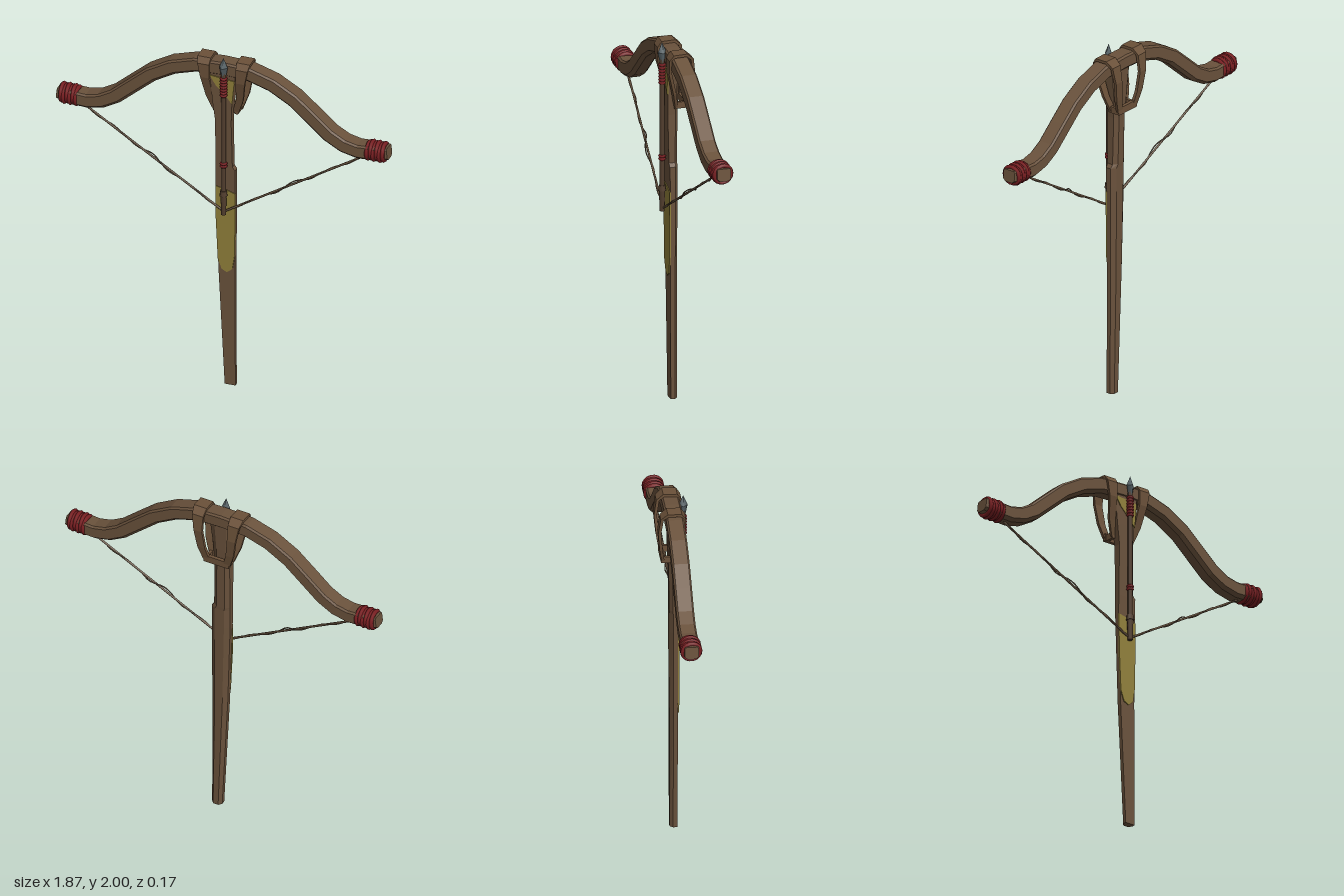
import * as THREE from 'three';

const mat = (name, color) => {
  const m = new THREE.MeshStandardMaterial({ color });
  m.name = name;
  return m;
};

// Solid from cross-section rings (each counter-clockwise seen from the far end), flat faces
function loft(rings) {
  const out = [];
  const tri = (...p) => p.forEach((v) => out.push(v.x, v.y, v.z));
  const n = rings[0].length;
  for (let i = 0; i < rings.length - 1; i++) {
    for (let j = 0; j < n; j++) {
      const k = (j + 1) % n;
      const a = rings[i][j], b = rings[i][k], c = rings[i + 1][k], d = rings[i + 1][j];
      tri(a, b, c);
      tri(a, c, d);
    }
  }
  const first = rings[0], last = rings[rings.length - 1];
  for (let j = 1; j < n - 1; j++) {
    tri(first[0], first[j + 1], first[j]);
    tri(last[0], last[j], last[j + 1]);
  }
  const g = new THREE.BufferGeometry();
  g.setAttribute('position', new THREE.Float32BufferAttribute(out, 3));
  g.computeVertexNormals();
  return g;
}

// Sweep a section of [normal, side] offsets along a path, with a fixed side direction
function sweep(path, side, sectionAt) {
  return loft(path.map((p, i) => {
    const t = path[Math.min(i + 1, path.length - 1)].clone().sub(path[Math.max(i - 1, 0)]);
    const n = side.clone().cross(t).normalize();
    return sectionAt(i).map(([u, v]) => p.clone().addScaledVector(n, u).addScaledVector(side, v));
  }));
}

export function createModel() {
  const model = new THREE.Group();
  model.name = 'crossbow';
  const wood = mat('wood', 0x6a523c);
  const leather = mat('leather', 0x6b5139);
  const darkWood = mat('darkWood', 0x523e2e);
  const red = mat('redCord', 0x7a1f22);
  const gold = mat('goldPlate', 0x91803a);
  const steel = mat('steel', 0x5c686c);
  const cord = mat('bowCord', 0x67533f);
  const V = (x, y, z) => new THREE.Vector3(x, y, z);
  const add = (name, geo, material, parent = model) => {
    const m = new THREE.Mesh(geo, material);
    m.name = name;
    parent.add(m);
    return m;
  };

  // Stock: y, left edge, right edge, front, back; the back is chamfered
  const stock = [
    [0, 0.015, 0.075, 0.03, -0.01],
    [0.7, -0.02, 0.072, 0.03, -0.013],
    [1.2, -0.035, 0.075, 0.032, -0.015],
    [1.31, -0.035, 0.075, 0.035, -0.015],
    [1.33, -0.035, 0.06, 0.035, -0.016],
    [1.6, -0.035, 0.055, 0.04, -0.02],
    [1.72, -0.05, 0.06, 0.042, -0.025],
    [1.94, -0.07, 0.085, 0.042, -0.03],
  ];
  add('stock', loft(stock.map(([y, l, r, f, b]) => {
    const c = (r - l) * 0.25, mid = b + 0.018;
    return [V(l, y, f), V(r, y, f), V(r, y, mid), V(r - c, y, b), V(l + c, y, b), V(l, y, mid)];
  })), wood);

  // Gold inlays on the front of the stock
  const plate = (name, pts, z) => {
    const shape = new THREE.Shape(pts.map(([x, y]) => new THREE.Vector2(x, y)));
    add(name, new THREE.ExtrudeGeometry(shape, { depth: 0.008, bevelEnabled: false }), gold).position.z = z;
  };
  plate('lowerInlay', [[0.0, 0.7], [0.03, 0.685], [0.06, 0.71], [0.073, 0.8], [0.076, 1.17],
    [0.03, 1.185], [-0.035, 1.2], [-0.033, 1.0], [-0.022, 0.76]], 0.028);
  plate('upperInlay', [[0.062, 1.72], [0.075, 1.86], [-0.065, 1.875], [-0.03, 1.82], [0.03, 1.76]], 0.039);

  // Curved bow limb
  const half = [[0.15, 1.912], [0.28, 1.872], [0.4, 1.803], [0.5, 1.717], [0.6, 1.63], [0.68, 1.585], [0.76, 1.567], [0.86, 1.572], [0.93, 1.58]];
  const limb = [...half.map(([x, y]) => V(-x, y, 0)).reverse(), V(0, 1.918, 0), ...half.map(([x, y]) => V(x, y, 0))];
  const limbSection = [[0.042, -0.038], [0.042, 0.038], [0.032, 0.047], [-0.026, 0.047],
    [-0.043, 0.028], [-0.043, -0.028], [-0.026, -0.047], [0.032, -0.047]];
  add('bowLimb', sweep(limb, V(0, 0, 1), (i) => {
    const s = i === 0 || i === limb.length - 1 ? 0.8 : 1;
    return limbSection.map(([u, v]) => [u * s, v * s]);
  }), wood);

  for (const s of [-1, 1]) {
    const label = s > 0 ? 'left' : 'right';

    // Red cord wound round each limb tip
    const wrap = new THREE.Group();
    wrap.name = label + 'TipWrap';
    model.add(wrap);
    for (let i = 0; i < 6; i++) {
      const ring = add('cordTurn', new THREE.TorusGeometry(0.047, 0.012, 6, 18), red, wrap);
      ring.position.set(s * (0.82 + i * 0.017), 1.572 + (i % 2) * 0.005, 0);
      ring.rotation.y = Math.PI / 2 + (i % 2 ? 0.05 : -0.04);
    }

    // Leather strap looped over the limb and drawn in to the stock: offset, y, z, width
    const strap = [
      [0.055, 1.65, 0.0, 0.035], [0.085, 1.74, 0.02, 0.04], [0.1, 1.86, 0.05, 0.05],
      [0.108, 1.94, 0.052, 0.065], [0.11, 1.966, 0.035, 0.075], [0.11, 1.968, -0.035, 0.075],
      [0.107, 1.94, -0.066, 0.065], [0.1, 1.85, -0.078, 0.05], [0.085, 1.74, -0.068, 0.045],
      [0.06, 1.66, -0.055, 0.04],
    ];
    add(label + 'Strap', sweep(strap.map(([x, y, z]) => V(0.012 + s * x, y, z)), V(1, 0, 0), (i) => {
      const w = strap[i][3] / 2;
      return [[0.008, -w], [0.008, w], [-0.008, w], [-0.008, -w]];
    }), leather);

    // Bowstring half: a straight cord with a loose strand twisting round it
    const a = V(s * 0.8, 1.535, 0), b = V(0.02, 1.065, 0.056);
    add(label + 'String', new THREE.TubeGeometry(new THREE.LineCurve3(a, b), 1, 0.006, 6), cord);
    const strand = [];
    for (let i = 0; i <= 32; i++) {
      const t = i / 32, r = 0.003 + 0.011 * Math.sin(Math.PI * t) * Math.abs(Math.sin(7 * t + 1));
      strand.push(a.clone().lerp(b, t).add(V(0, Math.cos(t * 24) * r, Math.sin(t * 24) * r)));
    }
    add(label + 'StringStrand', new THREE.TubeGeometry(new THREE.CatmullRomCurve3(strand), 64, 0.0035, 5), cord);
  }

  // Strap collar across the back of the stock
  add('strapCollar', new THREE.BoxGeometry(0.15, 0.04, 0.02), leather).position.set(0.012, 1.665, -0.055);
  for (const s of [-1, 1]) {
    add('collarSide', new THREE.BoxGeometry(0.016, 0.036, 0.07), leather).position.set(0.012 + s * 0.062, 1.66, -0.025);
  }

  // Bolt lying along the front of the stock
  const bolt = new THREE.Group();
  bolt.name = 'bolt';
  bolt.position.set(0.02, 0, 0.061);
  model.add(bolt);
  const rod = (name, y0, y1, r0, r1, m, sides = 8) => {
    add(name, new THREE.CylinderGeometry(r1, r0, y1 - y0, sides).toNonIndexed(), m, bolt).position.y = (y0 + y1) / 2;
  };
  rod('boltShaft', 1.06, 1.91, 0.013, 0.013, darkWood);
  rod('boltNock', 1.05, 1.17, 0.014, 0.017, darkWood);
  rod('boltCollar', 1.165, 1.195, 0.022, 0.018, darkWood);
  rod('headSocket', 1.89, 1.945, 0.013, 0.024, steel, 4);
  rod('headPoint', 1.945, 2.0, 0.024, 0.001, steel, 4);
  for (const y of [1.345, 1.361, 1.775, 1.792, 1.809, 1.826, 1.843, 1.86, 1.877]) {
    const ring = add('boltBinding', new THREE.TorusGeometry(0.013, 0.008, 6, 10), red, bolt);
    ring.position.y = y;
    ring.rotation.x = Math.PI / 2;
  }
  return model;
}
